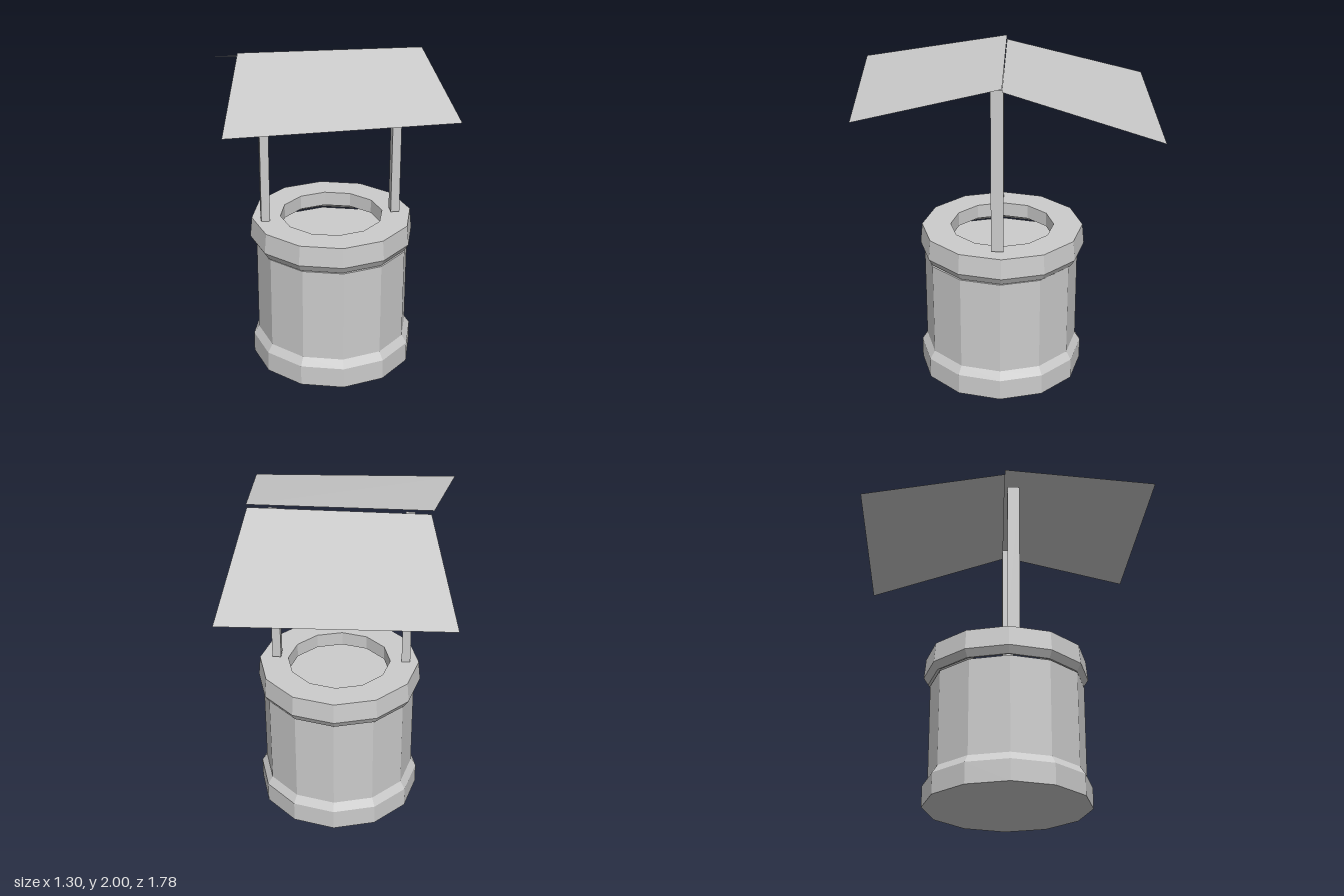
import * as THREE from 'three';

const SIDES = 12;
const material = new THREE.MeshStandardMaterial({ color: 0xcccccc, flatShading: true });
const thinMaterial = new THREE.MeshStandardMaterial({ color: 0xcccccc, flatShading: true, side: THREE.DoubleSide });

// Twelve-sided turned part from [radius, height] pairs
function turned(name, profile, x, z) {
  const points = profile.map(([r, y]) => new THREE.Vector2(r, y));
  const mesh = new THREE.Mesh(new THREE.LatheGeometry(points, SIDES), material);
  mesh.position.set(x, 0, z);
  mesh.name = name;
  return mesh;
}

// Upright post between two heights
function post(name, x, z, bottom, top) {
  const mesh = new THREE.Mesh(new THREE.BoxGeometry(0.054, top - bottom, 0.074), material);
  mesh.position.set(x, (bottom + top) / 2, z);
  mesh.name = name;
  return mesh;
}

// Thin four-cornered sheet, corners counter-clockwise from above
function sheet(name, corners) {
  const geometry = new THREE.BufferGeometry();
  geometry.setAttribute('position', new THREE.Float32BufferAttribute(corners.flat(), 3));
  geometry.setIndex([0, 1, 2, 0, 2, 3]);
  geometry.computeVertexNormals();
  const mesh = new THREE.Mesh(geometry, thinMaterial);
  mesh.name = name;
  return mesh;
}

export function createModel() {
  const well = new THREE.Group();
  well.name = 'well';

  // Closed drum with a flared foot
  well.add(turned('drum', [
    [0, 0], [0.51, 0], [0.51, 0.13], [0.477, 0.18], [0.477, 0.775], [0, 0.775],
  ], 0.048, 0.018));

  // Stone rim, hollowed out underneath
  well.add(turned('rim', [
    [0.482, 0.78], [0.51, 0.825], [0.498, 0.95], [0.32, 0.95], [0.32, 0.86], [0.472, 0.78], [0.482, 0.78],
  ], 0.042, 0.01));

  // Posts carrying the roof
  well.add(post('leftPost', 0.433, 0.034, 0.963, 1.955));
  well.add(post('rightPost', -0.375, 0.042, 0.95, 1.945));

  // Two slightly crooked roof sheets
  well.add(sheet('frontRoof', [
    [-0.655, 1.82, 0.89], [0.63, 1.825, 0.835], [0.58, 2, 0.005], [-0.51, 2, -0.015],
  ]));
  well.add(sheet('backRoof', [
    [0.65, 1.715, -0.895], [-0.648, 1.718, -0.88], [-0.495, 1.977, -0.015], [0.575, 1.982, 0.005],
  ]));

  return well;
}
